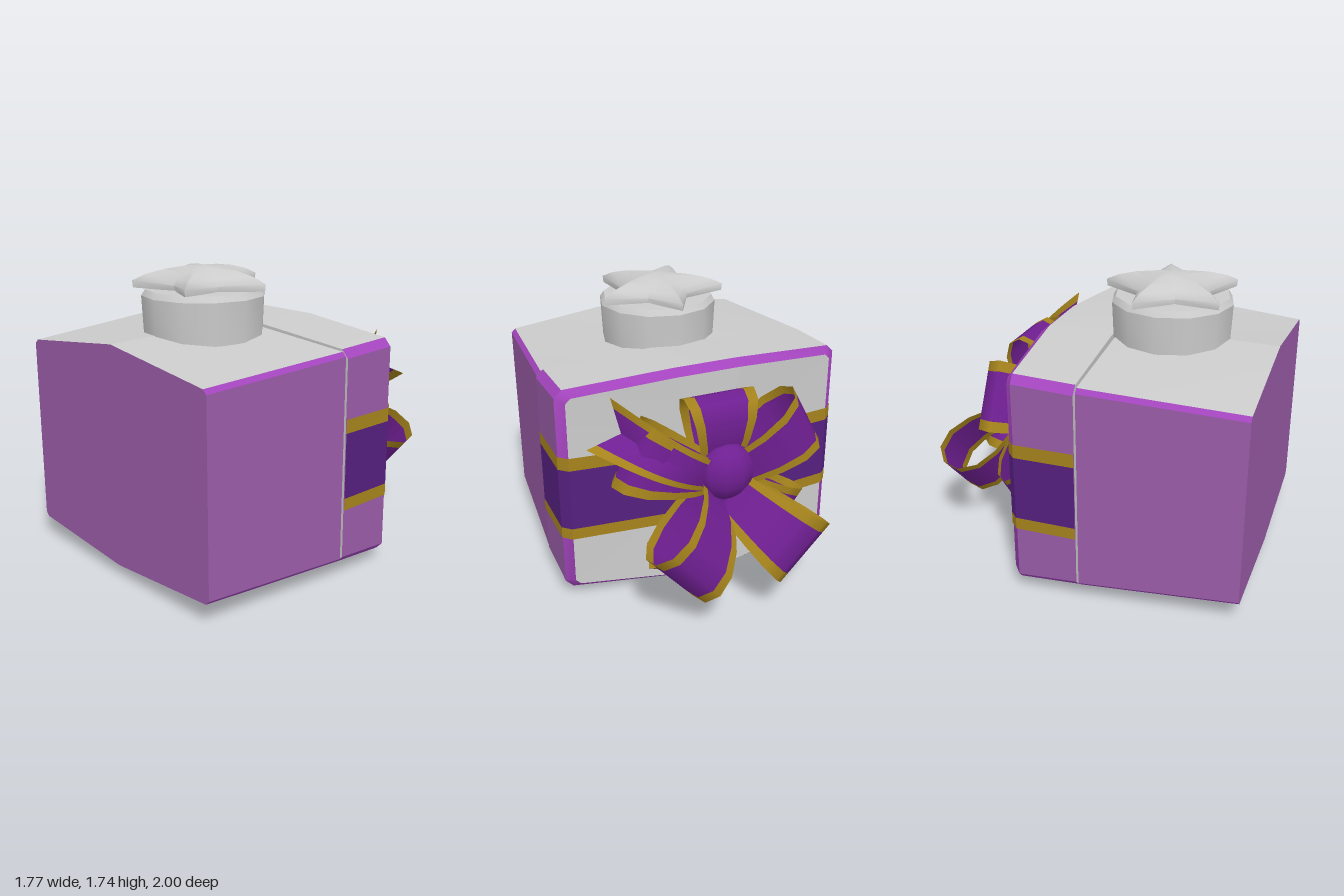
import * as THREE from 'three';
import { toCreasedNormals } from 'three/addons/utils/BufferGeometryUtils.js';
import { ParametricGeometry } from 'three/addons/geometries/ParametricGeometry.js';

const V = (x, y, z) => new THREE.Vector3(x, y, z);
const mat = (color, side = THREE.FrontSide) => new THREE.MeshStandardMaterial({ color, side });
const GREY = mat(0xcccccc);
const WRAP = mat(0x9a5ca8);
const EDGE = mat(0xa344bd);
const BAND = mat(0x55207f, THREE.DoubleSide);
const BOW = mat(0x6f1f92, THREE.DoubleSide);
const GOLD = mat(0xa5831c, THREE.DoubleSide);

function add(parent, name, geometry, material) {
  const mesh = new THREE.Mesh(geometry, material);
  mesh.name = name;
  parent.add(mesh);
  return mesh;
}

// Skin rows of points; keep(row, segment) picks the faces to make
function loft(rows, keep = () => true, closed = true, crease = 0.5) {
  const pos = [];
  const tri = (a, b, c) => {
    if (new THREE.Triangle(a, b, c).getArea() > 1e-7) pos.push(...a.toArray(), ...b.toArray(), ...c.toArray());
  };
  for (let i = 0; i < rows.length - 1; i++) {
    const n = rows[i].length;
    for (let j = 0; j < (closed ? n : n - 1); j++) {
      if (!keep(i, j)) continue;
      const k = (j + 1) % n;
      tri(rows[i][j], rows[i + 1][k], rows[i][k]);
      tri(rows[i][j], rows[i + 1][j], rows[i + 1][k]);
    }
  }
  const g = new THREE.BufferGeometry();
  g.setAttribute('position', new THREE.Float32BufferAttribute(pos, 3));
  g.computeVertexNormals();
  return toCreasedNormals(g, crease);
}

// Chamfered outline whose top and bottom swell toward the middle
function outline({ hx, yb, yt, mb, mt, m, c, z, bulge = 0 }) {
  const k = hx - c;
  return [
    [-hx, yb + c], [-k, yb], [-m, mb], [m, mb], [k, yb], [hx, yb + c],
    [hx, yt - c], [k, yt], [m, mt], [-m, mt], [-k, yt], [-hx, yt - c],
  ].map(([x, y]) => V(x, y, z - bulge * Math.min(1, (hx - Math.abs(x)) / (hx - m))));
}
const isGrey = (j) => (j >= 1 && j <= 3) || (j >= 7 && j <= 9);
const point = (x, y, z) => Array(12).fill(V(x, y, z));

function makeBox() {
  const g = new THREE.Group();
  g.name = 'box';
  const rows = [
    point(0, 0.7, 1),
    outline({ hx: 0.797, yb: 0.13, yt: 1.268, mb: 0.07, mt: 1.362, m: 0, c: 0.025, z: 1 }),
    outline({ hx: 0.874, yb: 0.1, yt: 1.325, mb: 0.03, mt: 1.375, m: 0, c: 0.025, z: 0.095, bulge: 0.03 }),
    point(0, 0.7, 0.075),
  ];
  add(g, 'boxTopAndBottom', loft(rows, (i, j) => i === 1 && isGrey(j), true, 0.1), GREY);
  add(g, 'boxSides', loft(rows, (i, j) => i !== 1 || j === 5 || j === 11), WRAP);
  add(g, 'boxEdges', loft(rows, (i, j) => i === 1 && [0, 4, 6, 10].includes(j)), EDGE);
  return g;
}

function makeLid() {
  const g = new THREE.Group();
  g.name = 'lid';
  const rows = [
    point(0, 0.7, 0.05),
    outline({ hx: 0.88, yb: 0.09, yt: 1.335, mb: 0.03, mt: 1.375, m: 0.2, c: 0.045, z: 0.085, bulge: 0.03 }),
    outline({ hx: 0.88, yb: 0.065, yt: 1.35, mb: 0.0, mt: 1.395, m: 0.2, c: 0.045, z: -0.27, bulge: 0.06 }),
    outline({ hx: 0.83, yb: 0.1, yt: 1.31, mb: 0.04, mt: 1.355, m: 0.2, c: 0.03, z: -0.315, bulge: 0.065 }),
    point(0, 0.7, -0.38),
  ];
  add(g, 'lidPanels', loft(rows, (i, j) => i === 0 || i === 3 || (i === 1 && isGrey(j)), true, 0.1), GREY);
  add(g, 'lidSides', loft(rows, (i, j) => i === 1 && (j === 5 || j === 11)), WRAP);
  add(g, 'lidEdges', loft(rows, (i, j) => i === 2 || (i === 1 && [0, 4, 6, 10].includes(j)), true, 0.9), EDGE);

  // Ribbon band wrapped round the sides and back of the lid
  const half = [[0.884, 0.083], [0.884, -0.272], [0.833, -0.32], [0.2, -0.386]];
  const path = [...half, ...half.map(([x, z]) => [-x, z]).reverse()];
  [['bandLowerTrim', 0.42, 0.49, GOLD], ['band', 0.49, 0.87, BAND], ['bandUpperTrim', 0.87, 0.95, GOLD]]
    .forEach(([name, y0, y1, m]) =>
      add(g, name, loft([y0, y1].map((y) => path.map(([x, z]) => V(x, y, z))), undefined, false), m));
  return g;
}

function makeKnob() {
  const g = new THREE.Group();
  g.name = 'starKnob';
  g.position.set(0.015, 0, 0.36);
  const profile = [[0.345, 1.29], [0.358, 1.57], [0.335, 1.605], [0, 1.61]].map(([r, y]) => new THREE.Vector2(r, y));
  add(g, 'knob', toCreasedNormals(new THREE.LatheGeometry(profile, 12), 0.6), GREY);

  // Puffed five-pointed star
  const ring = (tip, valley, yTip, yValley) => Array.from({ length: 10 }, (_, i) => {
    const a = -Math.PI / 2 + i * Math.PI / 5;
    const r = i % 2 ? valley : tip;
    return V(r * Math.cos(a), i % 2 ? yValley : yTip, r * Math.sin(a));
  });
  const star = [
    ring(0, 0, 1.605, 1.605), ring(0.4, 0.21, 1.61, 1.605), ring(0.405, 0.215, 1.65, 1.635),
    ring(0.33, 0.19, 1.685, 1.67), ring(0.22, 0.14, 1.713, 1.695), ring(0.1, 0.08, 1.73, 1.722),
    ring(0, 0, 1.735, 1.735),
  ];
  add(g, 'star', loft(star, undefined, true, 0.9), GREY);
  return g;
}

// Ribbon surface f(u, v) split into gold, purple and gold strips across v
function ribbon(name, f, segs = 12, rim = 0.15) {
  const g = new THREE.Group();
  g.name = name;
  [[0, rim, GOLD, 'trim'], [rim, 0.5, BOW, 'ribbon'], [0.5, 1 - rim, BOW, 'ribbon'], [1 - rim, 1, GOLD, 'trim']]
    .forEach(([a, b, m, part]) => add(g, part,
      new ParametricGeometry((u, v, t) => t.copy(f(u, a + (b - a) * v)), segs, 1), m));
  return g;
}

// Radial bow loop: angle in the back plane, tilt away from the lid,
// root is the share of the ribbon's width kept at the knot
function bowLoop(name, deg, tiltDeg, length, width, thick, base, root = 0.45) {
  const a = THREE.MathUtils.degToRad(deg), t = THREE.MathUtils.degToRad(tiltDeg);
  const d = V(Math.cos(t) * Math.cos(a), Math.cos(t) * Math.sin(a), -Math.sin(t));
  const s = V(-Math.sin(a), Math.cos(a), 0);
  const n = d.clone().cross(s);
  return ribbon(name, (u, v) => {
    const out = (1 - Math.cos(2 * Math.PI * u)) / 2;
    return base.clone()
      .addScaledVector(d, length * out)
      .addScaledVector(n, thick * Math.sin(2 * Math.PI * u) * (0.55 + 0.6 * out))
      .addScaledVector(s, width * (v - 0.5) * (root + (1 - root) * out));
  });
}

function makeBow() {
  const g = new THREE.Group();
  g.name = 'bow';
  const back = V(0.01, 0.76, -0.49);
  const side = V(0.01, 0.76, -0.52);
  // Loops lying against the lid
  g.add(bowLoop('topLoop', 90, 4, 0.53, 0.43, 0.13, back));
  g.add(bowLoop('upperRightLoop', 152, 1, 0.64, 0.42, 0.16, side));
  g.add(bowLoop('upperLeftLoop', 26, 1, 0.62, 0.42, 0.16, side));
  g.add(bowLoop('lowerRightLoop', 217, -1, 0.62, 0.36, 0.11, back));
  g.add(bowLoop('lowerLeftLoop', 292, -1, 0.67, 0.36, 0.11, back));
  // Large loops standing out
  g.add(bowLoop('outerRightLoop', 224, 37, 0.57, 0.44, 0.18, V(-0.03, 0.7, -0.59), 0.6));
  g.add(bowLoop('outerLeftLoop', 319, 37, 0.58, 0.44, 0.18, V(0.07, 0.7, -0.59), 0.6));

  // Notched tail
  const a = THREE.MathUtils.degToRad(33);
  g.add(ribbon('tail', (u, v) => {
    const along = 0.84 * u * (1 - 0.18 * u * (1 - Math.abs(2 * v - 1)));
    const across = (v - 0.5) * (0.16 + 0.14 * u);
    return V(along * Math.cos(a) - across * Math.sin(a), 0.76 + along * Math.sin(a) + across * Math.cos(a),
      -0.56 - 0.16 * Math.sin(Math.PI * u) + 0.07 * u + 0.2 * across * u);
  }));

  // Centre knot
  const knot = add(g, 'knot', new THREE.SphereGeometry(0.17, 10, 8), BOW);
  knot.scale.set(1, 1, 0.75);
  knot.position.set(0, 0.84, -0.61);
  return g;
}

export function createModel() {
  const model = new THREE.Group();
  model.name = 'giftBox';
  model.add(makeBox(), makeLid(), makeKnob(), makeBow());
  return model;
}
